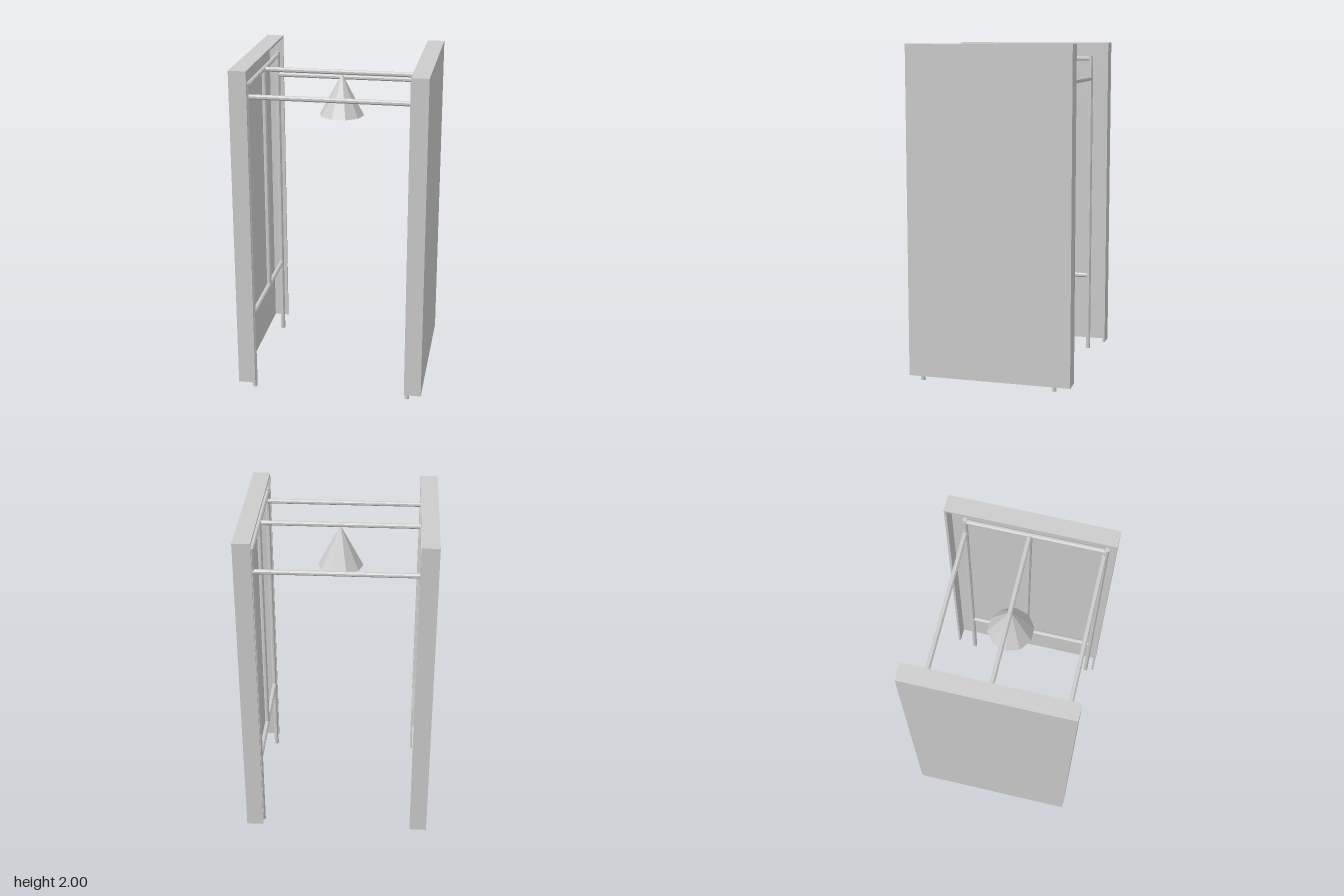
import * as THREE from 'three';

const material = new THREE.MeshStandardMaterial({ color: 0xcccccc, flatShading: true });

function add(parent, name, geometry, x = 0, y = 0, z = 0) {
  const mesh = new THREE.Mesh(geometry, material);
  mesh.name = name;
  mesh.position.set(x, y, z);
  parent.add(mesh);
  return mesh;
}

// Straight pipe between two points
function pipe(parent, name, from, to, radius = 0.0145) {
  const a = new THREE.Vector3(...from);
  const b = new THREE.Vector3(...to);
  const dir = b.clone().sub(a);
  const geometry = new THREE.CylinderGeometry(radius, radius, dir.length(), 8);
  geometry.rotateY(Math.PI / 8);
  const mesh = add(parent, name, geometry);
  mesh.position.copy(a).add(b).multiplyScalar(0.5);
  mesh.quaternion.setFromUnitVectors(new THREE.Vector3(0, 1, 0), dir.normalize());
  return mesh;
}

export function createModel() {
  const model = new THREE.Group();
  model.name = 'gateway';

  const inner = 0.458, outer = 0.56, bottom = 0.05, top = 2;
  const halfDepth = 0.489, wall = 0.014;
  const postX = 0.472, frontZ = 0.435, backZ = -0.375, midZ = -0.002;
  const railTop = 1.9, railLow = 0.49;
  const width = outer - inner, height = top - bottom;
  const midX = (inner + outer) / 2, midY = (top + bottom) / 2;

  for (const s of [-1, 1]) {
    const side = new THREE.Group();
    side.name = s > 0 ? 'leftSide' : 'rightSide';
    model.add(side);

    // Hollow cladding shell, open toward the passage and at the bottom
    add(side, 'outerPlate', new THREE.BoxGeometry(wall, height, halfDepth * 2), s * (outer - wall / 2), midY, 0);
    add(side, 'topCap', new THREE.BoxGeometry(width - wall, wall, halfDepth * 2), s * (midX - wall / 2), top - wall / 2, 0);
    for (const f of [-1, 1]) {
      add(side, f > 0 ? 'frontFlange' : 'backFlange',
        new THREE.BoxGeometry(width - wall, height - wall, wall),
        s * (midX - wall / 2), midY - wall / 2, f * (halfDepth - wall / 2));
    }

    // Pipe frame standing inside the shell
    const x = s * postX;
    pipe(side, 'frontPost', [x, 0, frontZ], [x, 1.92, frontZ]);
    pipe(side, 'backPost', [x, 0, backZ], [x, 1.92, backZ]);
    pipe(side, 'middlePost', [x, railLow, midZ], [x, railTop, midZ]);
    pipe(side, 'topRail', [x, railTop, backZ], [x, railTop, frontZ]);
    pipe(side, 'lowerRail', [x, railLow, backZ], [x, railLow, frontZ]);
  }

  // Cross bars joining the two sides
  const bars = [['frontCrossBar', 1.84, 0.427], ['middleCrossBar', 1.897, midZ], ['backCrossBar', 1.775, backZ]];
  for (const [name, y, z] of bars) pipe(model, name, [-postX, y, z], [postX, y, z]);

  // Ten-sided lamp shade hanging from the middle bar
  const cone = new THREE.ConeGeometry(0.134, 0.25, 10);
  cone.rotateY(Math.PI / 10);
  add(model, 'lampShade', cone, 0, 1.765, 0);

  return model;
}
